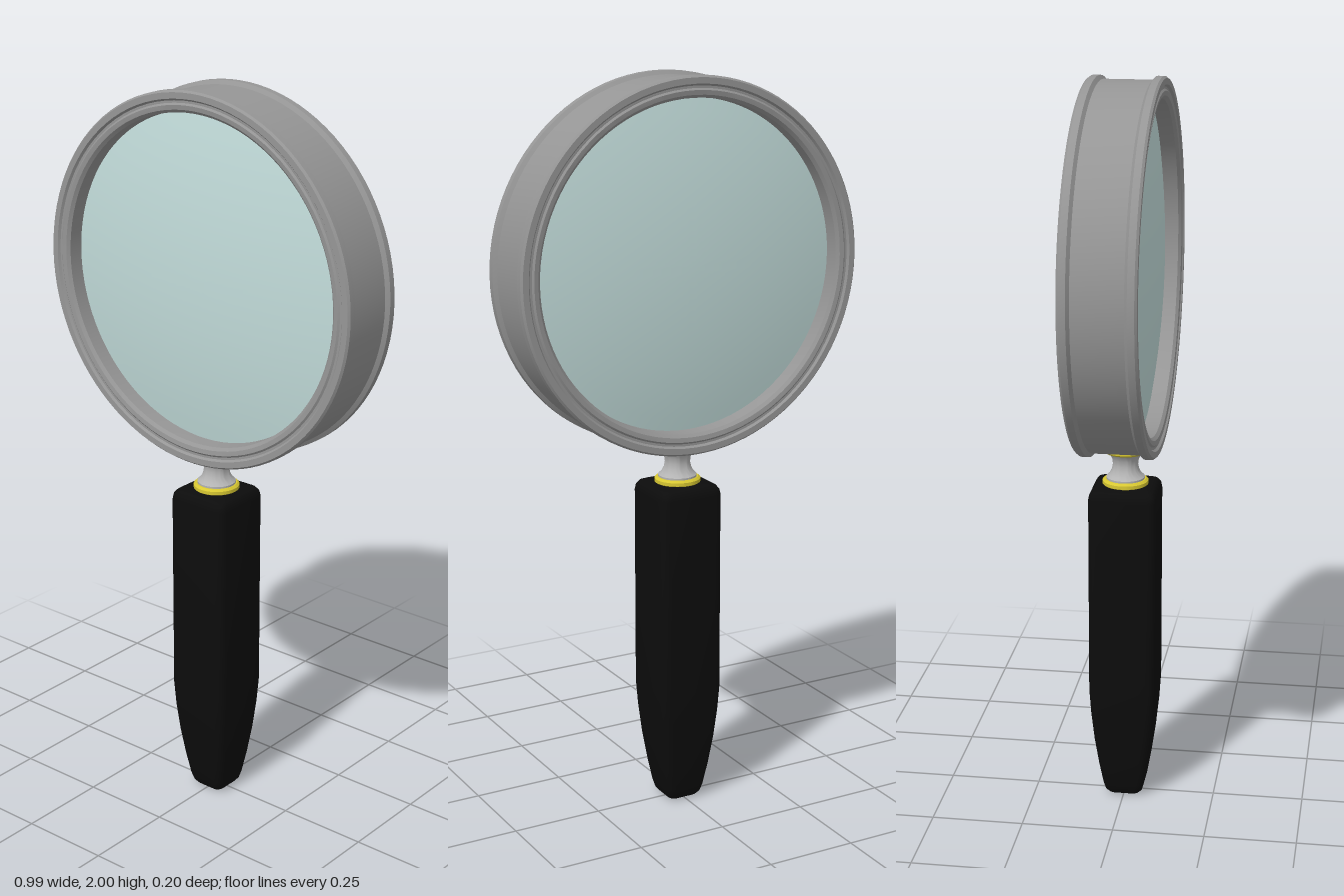
import * as THREE from 'three';
import { toCreasedNormals } from 'three/addons/utils/BufferGeometryUtils.js';

const RING_Y = 1.505;

const material = (color) => new THREE.MeshStandardMaterial({ color });

function addMesh(parent, name, geometry, mat) {
  const mesh = new THREE.Mesh(geometry, mat);
  mesh.name = name;
  parent.add(mesh);
  return mesh;
}

// Revolves [radius, height] pairs, listed upwards along the outside
function turned(points, segments = 48) {
  const profile = points.map(([r, y]) => new THREE.Vector2(r, y));
  return toCreasedNormals(new THREE.LatheGeometry(profile, segments), 0.6);
}

// Lofts rounded squares given as [height, half width, corner radius]
function roundedSquareLoft(levels, cornerSteps = 4) {
  const positions = [], index = [];
  const count = 4 * (cornerSteps + 1);
  for (const [y, half, radius] of levels) {
    for (let c = 0; c < 4; c++) {
      const mid = Math.PI / 4 + c * Math.PI / 2;
      const cx = Math.sign(Math.cos(mid)) * (half - radius);
      const cz = Math.sign(Math.sin(mid)) * (half - radius);
      for (let s = 0; s <= cornerSteps; s++) {
        const a = (c + s / cornerSteps) * Math.PI / 2;
        positions.push(cx + radius * Math.cos(a), y, cz + radius * Math.sin(a));
      }
    }
  }
  for (let l = 0; l < levels.length - 1; l++) {
    for (let i = 0; i < count; i++) {
      const a = l * count + i, b = l * count + (i + 1) % count;
      index.push(a, a + count, b, b, a + count, b + count);
    }
  }
  // End caps
  const last = (levels.length - 1) * count;
  for (let i = 1; i < count - 1; i++) {
    index.push(0, i, i + 1, last, last + i + 1, last + i);
  }
  const geometry = new THREE.BufferGeometry();
  geometry.setAttribute('position', new THREE.Float32BufferAttribute(positions, 3));
  geometry.setIndex(index);
  return toCreasedNormals(geometry, 0.6);
}

export function createModel() {
  const model = new THREE.Group();
  model.name = 'magnifyingGlass';
  const metal = material(0x969696);
  const neckMetal = material(0xb4b4b4);
  const brass = material(0xd8c832);
  const black = material(0x0c0c0c);
  const glass = material(0xc2dcda);

  // Frame: half profile from the groove to the inner wall, mirrored in depth
  const halfProfile = [
    [0.485, 0.066], [0.495, 0.074], [0.495, 0.092], [0.490, 0.098],
    [0.474, 0.098], [0.469, 0.092], [0.463, 0.092], [0.458, 0.096],
    [0.446, 0.094], [0.438, 0.086], [0.437, 0.05],
  ];
  const mirrored = halfProfile.map(([r, z]) => [r, -z]).reverse();
  const frame = addMesh(model, 'lensFrame',
    turned([...halfProfile, ...mirrored, halfProfile[0]], 96), metal);

  // Biconvex lens
  const lensProfile = [];
  for (let i = 0; i <= 12; i++) {
    const t = i / 12;
    lensProfile.push([0.438 * t, -0.085 + 0.04 * t * t]);
  }
  const lensTop = lensProfile.map(([r, z]) => [r, -z]).reverse();
  const lens = addMesh(model, 'lens', turned([...lensProfile, ...lensTop], 96), glass);

  for (const part of [frame, lens]) {
    part.rotation.x = Math.PI / 2;
    part.position.y = RING_Y;
  }

  // Waisted neck between frame and handle
  addMesh(model, 'neck', turned([
    [0, 0.925], [0.052, 0.925], [0.052, 0.935], [0.044, 0.942], [0.037, 0.955],
    [0.034, 0.97], [0.036, 0.985], [0.042, 0.998], [0.05, 1.007], [0, 1.007],
  ]), neckMetal);

  // Brass collars at both ends of the neck
  for (const [name, y] of [['lowerCollar', 0.911], ['upperCollar', 1.005]]) {
    addMesh(model, name, turned([
      [0, y], [0.056, y], [0.062, y + 0.005], [0.062, y + 0.014],
      [0.056, y + 0.019], [0, y + 0.019],
    ]), brass);
  }

  // Tapered handle with a rounded-square section
  addMesh(model, 'handle', roundedSquareLoft([
    [0, 0.034, 0.016], [0.004, 0.043, 0.018], [0.014, 0.051, 0.019],
    [0.035, 0.057, 0.02], [0.1, 0.068, 0.021], [0.18, 0.079, 0.022],
    [0.26, 0.087, 0.023], [0.33, 0.0915, 0.024], [0.885, 0.0915, 0.024],
    [0.899, 0.089, 0.023], [0.909, 0.082, 0.022], [0.914, 0.07, 0.02],
  ]), black);

  return model;
}
